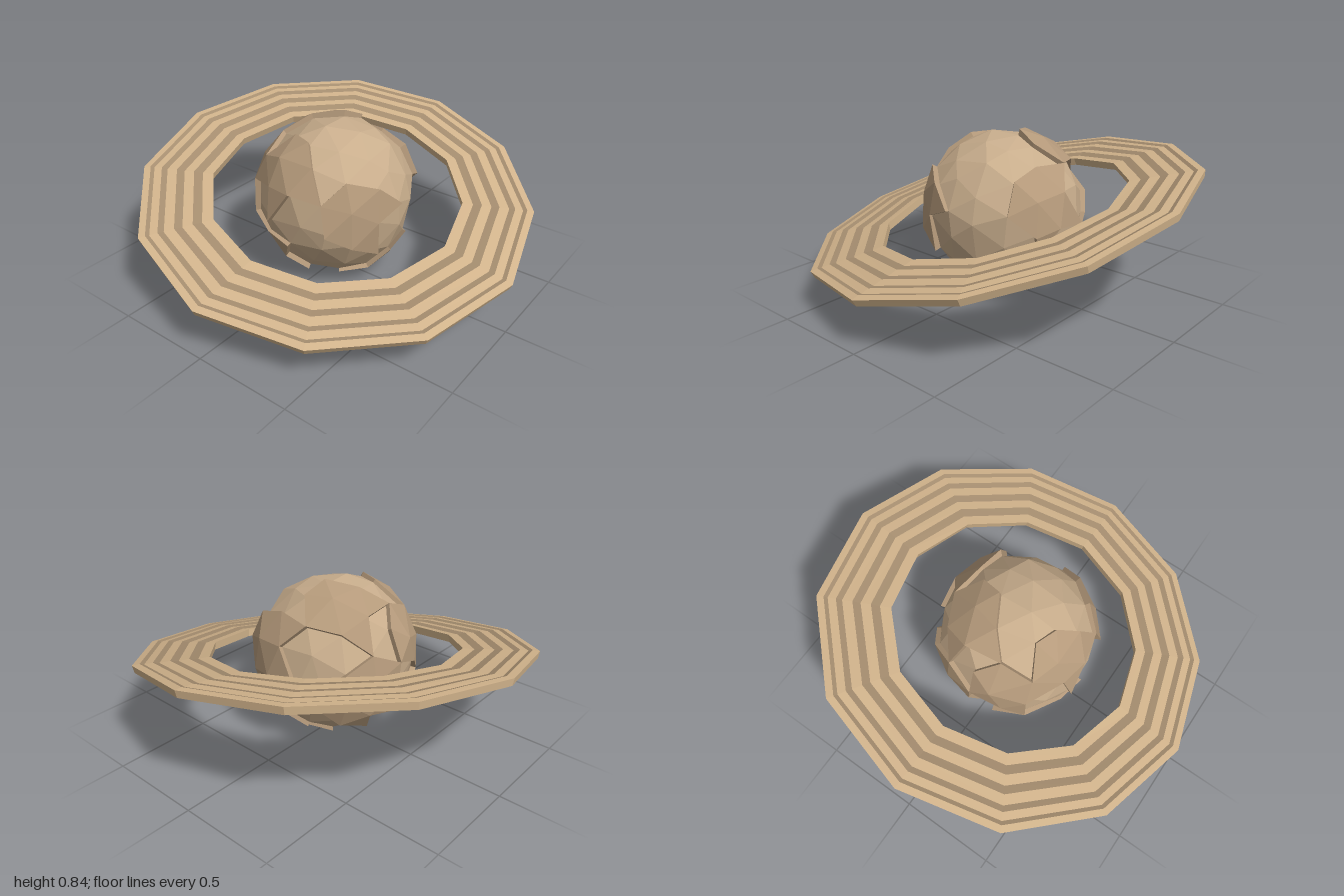
import * as THREE from 'three';

const R = 0.395, CENTER_Y = 0.405;
const tan = (color) => new THREE.MeshStandardMaterial({ color, flatShading: true });

// Smooth pseudo-random offset in -1..1, so coincident corners stay joined
const wobble = (p, s) => Math.sin(p.x * 17 + s) * Math.sin(p.y * 19 + 2 * s) + 0.5 * Math.sin(p.z * 23 + 3 * s);

function trianglesGeometry(points) {
  const g = new THREE.BufferGeometry().setFromPoints(points);
  g.computeVertexNormals();
  return g;
}

// Raised crust plates: direction from the centre and angular radius
const PLATES = [
  [-0.20, 0.05, 0.32, 0.42],
  [0.35, 0.12, 0.11, 0.50],
  [0.12, -0.33, 0.14, 0.55],
  [-0.31, 0.24, -0.06, 0.45],
  [0.13, 0.32, -0.18, 0.42],
  [0.20, -0.08, -0.33, 0.50],
  [-0.18, 0.13, -0.33, 0.40],
  [-0.25, -0.25, -0.18, 0.45],
];

// Faceted, slightly uneven ball split into triangles
function ballFaces() {
  const pos = new THREE.IcosahedronGeometry(R, 2).getAttribute('position');
  const faces = [];
  for (let i = 0; i < pos.count; i += 3) {
    faces.push([0, 1, 2].map((k) => {
      const p = new THREE.Vector3().fromBufferAttribute(pos, i + k);
      const shift = new THREE.Vector3(wobble(p, 1), wobble(p, 2), wobble(p, 4)).multiplyScalar(0.022);
      return p.add(shift).setLength(R + 0.006 * wobble(p, 3));
    }));
  }
  return faces;
}

// Lift the faces of one plate and wall in its outline
function plateGeometry(faces, lift) {
  const key = (p) => p.toArray().map((v) => Math.round(v * 1000)).join();
  const edges = new Set();
  faces.forEach((f) => f.forEach((a, i) => edges.add(key(a) + '|' + key(f[(i + 1) % 3]))));
  const up = (p) => p.clone().setLength(p.length() + lift + 0.008 * wobble(p, 7));
  const down = (p) => p.clone().multiplyScalar(0.97);
  const out = [];
  for (const f of faces) {
    out.push(...f.map(up));
    f.forEach((a, i) => {
      const b = f[(i + 1) % 3];
      if (edges.has(key(b) + '|' + key(a))) return;
      out.push(down(a), down(b), up(b), down(a), up(b), up(a));
    });
  }
  return trianglesGeometry(out);
}

function createPlanet() {
  const planet = new THREE.Group();
  planet.name = 'planet';
  const faces = ballFaces();
  const material = tan(0xc8ad8c);
  const ball = new THREE.Mesh(trianglesGeometry(faces.flat()), material);
  ball.name = 'planetSurface';
  planet.add(ball);

  PLATES.forEach(([x, y, z, reach], i) => {
    const dir = new THREE.Vector3(x, y, z);
    const members = faces.filter(([a, b, c]) => a.clone().add(b).add(c).angleTo(dir) < reach);
    const plate = new THREE.Mesh(plateGeometry(members, 0.025), tan(0xb59a7b));
    plate.name = 'crustPlate' + (i + 1);
    planet.add(plate);
  });
  return planet;
}

function createRing() {
  const ring = new THREE.Group();
  ring.name = 'ring';
  const light = tan(0xd2b48c), dark = tan(0xa58d6f);
  const top = 0.016, bottom = -0.02;
  const radii = [1.01, 0.975, 0.955, 0.915, 0.885, 0.835, 0.795, 0.745, 0.70, 0.645];

  // Twelve-sided turned strip through the given profile
  const strip = (name, profile, material) => {
    const g = new THREE.LatheGeometry(profile.map(([r, y]) => new THREE.Vector2(r, y)), 12);
    const pos = g.getAttribute('position');
    const p = new THREE.Vector3();
    for (let i = 0; i < pos.count; i++) {
      p.fromBufferAttribute(pos, i);
      const s = 1 + 0.006 * Math.sin(5 * p.x + 3 * p.z);
      pos.setXYZ(i, p.x * s, p.y + 0.003 * Math.sin(9 * p.x - 7 * p.z), p.z * s);
    }
    const mesh = new THREE.Mesh(g, material);
    mesh.name = name;
    ring.add(mesh);
  };

  // Striped top with shallow ridges
  const height = (i) => top + (i % 2 ? 0.005 : 0);
  for (let i = 0; i < radii.length - 1; i++) {
    strip('ringBand' + (i + 1), [[radii[i], height(i)], [radii[i + 1], height(i + 1)]], i % 2 ? dark : light);
  }
  // Rims and underside
  const inner = radii[radii.length - 1], outer = radii[0];
  strip('ringOuterRim', [[outer - 0.01, bottom], [outer, height(0)]], light);
  strip('ringInnerRim', [[inner, height(radii.length - 1)], [inner + 0.005, bottom]], light);
  strip('ringUnderside', [[inner + 0.005, bottom], [0.83, bottom - 0.002], [outer - 0.01, bottom]], tan(0xb59a7b));

  // Tilt so the back left side is raised
  ring.quaternion.setFromUnitVectors(
    new THREE.Vector3(0, 1, 0), new THREE.Vector3(-0.177, 1, 0.177).normalize());
  return ring;
}

export function createModel() {
  const model = new THREE.Group();
  model.name = 'ringedPlanet';
  const planet = createPlanet();
  const ring = createRing();
  planet.position.y = ring.position.y = CENTER_Y;
  model.add(planet, ring);
  return model;
}
